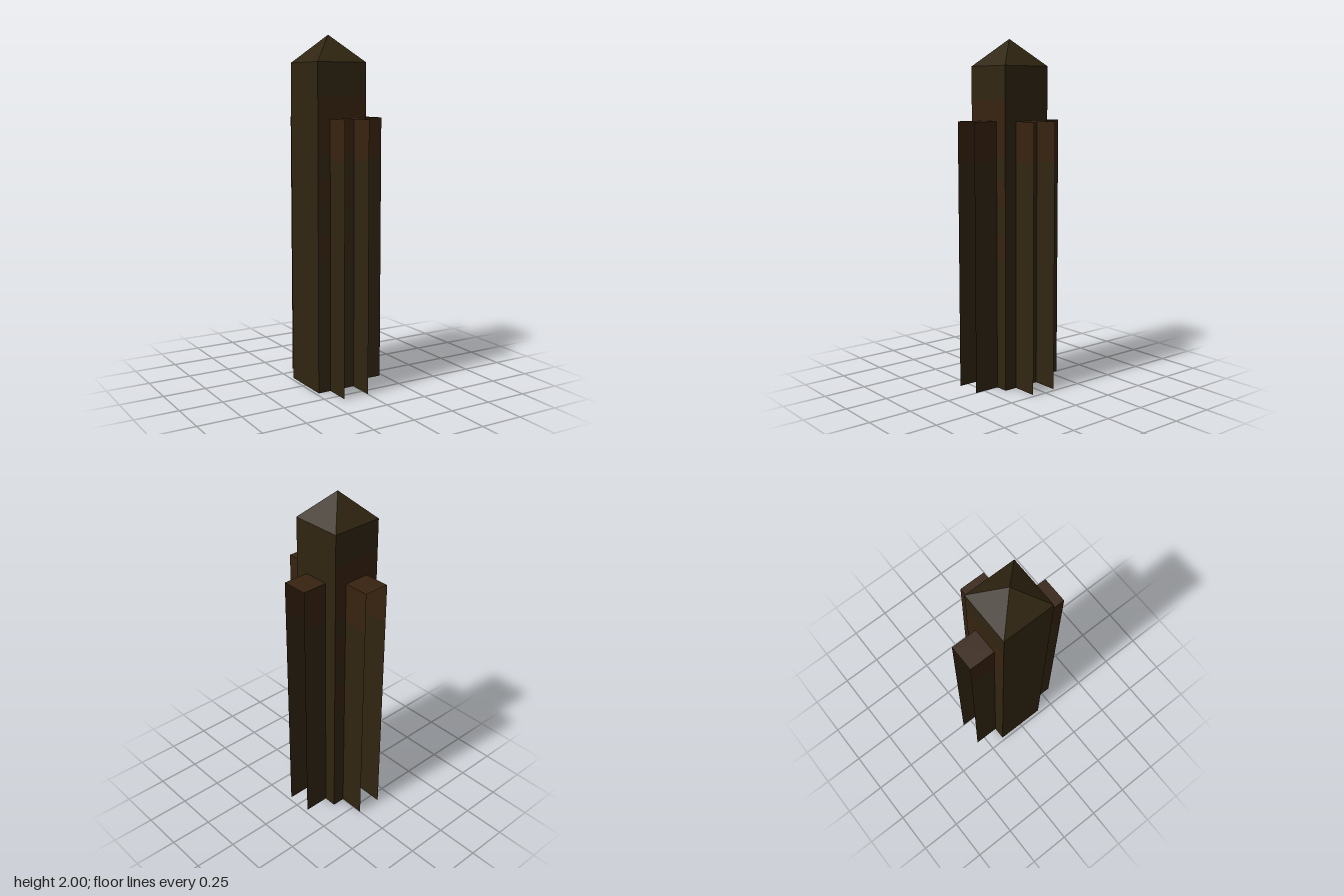
import * as THREE from 'three';

const U = 0.154;        // half width of the tower, full width of a wing
const TOWER_H = 1.847;
const WING_H = 1.54;
const CX = -U / 2;      // the tower sits off centre, opposite the side wing

export function createModel() {
  const olive = new THREE.MeshStandardMaterial({ color: 0x302511, side: THREE.DoubleSide });
  olive.name = 'darkOlive';
  const brown = new THREE.MeshStandardMaterial({ color: 0x372210, side: THREE.DoubleSide });
  brown.name = 'darkBrown';

  const add = (parent, name, geometry, material) => {
    const mesh = new THREE.Mesh(geometry, material);
    mesh.name = name;
    parent.add(mesh);
    return mesh;
  };

  // Upright wall at distance d from the axis, turned about it, built of stacked colour bands
  const wall = (parent, name, width, d, angle, bands, shiftX = 0, shiftZ = 0) => {
    for (const [y0, y1, material] of bands) {
      const g = new THREE.PlaneGeometry(width, y1 - y0);
      g.translate(0, (y0 + y1) / 2, d).rotateY(angle).translate(shiftX, 0, shiftZ);
      add(parent, name, g, material);
    }
  };

  const model = new THREE.Group();
  model.name = 'tower';
  const body = new THREE.Group();
  body.name = 'towerBody';
  body.position.x = CX;
  model.add(body);

  // Front and back walls carry brown bands, the side walls are plain
  const banded = [
    [0, 0.75, olive], [0.75, 0.9, brown], [0.9, 1.06, olive], [1.06, 1.22, brown],
    [1.22, 1.34, olive], [1.34, 1.66, brown], [1.66, TOWER_H, olive],
  ];
  const plain = [[0, TOWER_H, olive]];
  for (let i = 0; i < 4; i++) {
    wall(body, i % 2 ? 'sideWall' : 'bandedWall', 2 * U, U, i * Math.PI / 2, i % 2 ? plain : banded);
  }
  add(body, 'base', new THREE.PlaneGeometry(2 * U, 2 * U).rotateX(Math.PI / 2), olive);

  // Pyramid roof with flat facets
  const cone = new THREE.ConeGeometry(U * Math.SQRT2, 2 - TOWER_H, 4, 1, true)
    .rotateY(Math.PI / 4).translate(0, (2 + TOWER_H) / 2, 0).toNonIndexed();
  cone.computeVertexNormals();
  add(body, 'roof', cone, olive);

  // Wings: two side walls and a top, open at the outer end and below
  const wingBands = [[0, 1.31, olive], [1.31, WING_H, brown]];
  const wings = [['frontWing', 0], ['leftWing', Math.PI / 2], ['backWing', Math.PI]];
  for (const [name, angle] of wings) {
    const wing = new THREE.Group();
    wing.name = name;
    wing.rotation.y = angle;
    body.add(wing);
    for (const s of [-1, 1]) {
      wall(wing, 'wingWall', U, U / 2, s * Math.PI / 2, wingBands, 0, 1.5 * U);
    }
    const top = new THREE.PlaneGeometry(U, U).rotateX(-Math.PI / 2).translate(0, WING_H, 1.5 * U);
    add(wing, 'wingTop', top, brown);
  }
  return model;
}
